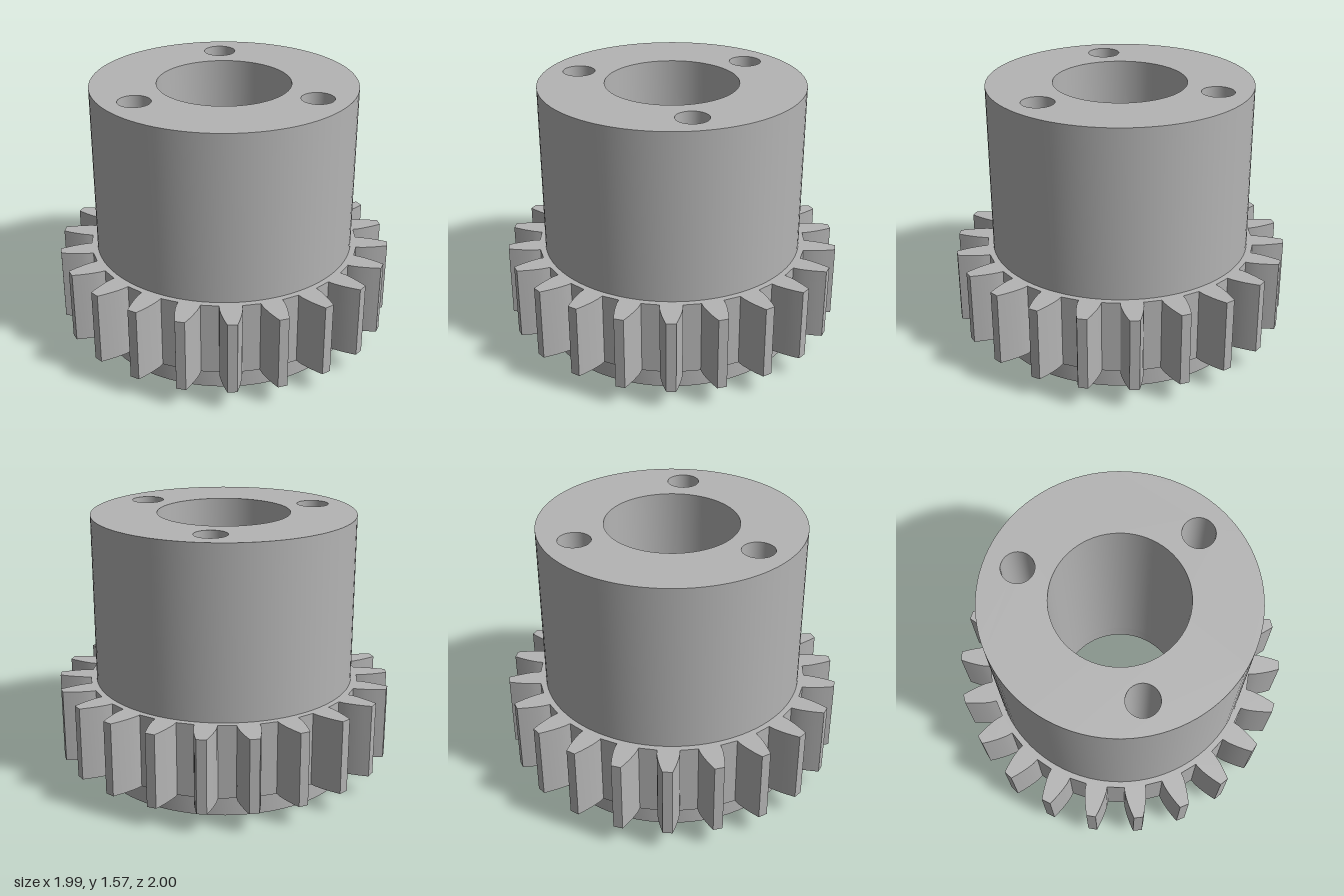
import * as THREE from 'three';
import { toCreasedNormals } from 'three/addons/utils/BufferGeometryUtils.js';

const HUB_R = 0.777, BORE_R = 0.39, BOLT_CIRCLE = 0.585, BOLT_R = 0.095, NUT_R = 0.183;
const GEAR_Y = 0.125, GEAR_H = 0.44, HEIGHT = 1.57, TEETH = 22;

// Regular polygon (or many-sided circle) used for outlines and holes
function ring(Type, r, sides, cx = 0, cy = 0) {
  const pts = [];
  for (let i = 0; i < sides; i++) {
    const a = (i / sides) * Math.PI * 2;
    pts.push(new THREE.Vector2(cx + r * Math.cos(a), cy + r * Math.sin(a)));
  }
  return new Type(pts);
}

// Hub cross-section: bore plus three holes on the bolt circle
function hubShape(holeR, holeSides) {
  const shape = ring(THREE.Shape, HUB_R, 96);
  shape.holes.push(ring(THREE.Path, BORE_R, 72));
  for (let i = 0; i < 3; i++) {
    const a = Math.PI / 2 + (i * Math.PI * 2) / 3;
    shape.holes.push(ring(THREE.Path, holeR, holeSides, BOLT_CIRCLE * Math.cos(a), BOLT_CIRCLE * Math.sin(a)));
  }
  return shape;
}

// Toothed outline: [radius, half width] pairs up one flank, mirrored down the other
function gearShape() {
  const flank = [[0.81, 0.064], [0.845, 0.064], [0.88, 0.059], [0.915, 0.052], [0.955, 0.042], [1, 0.028]];
  const tooth = [...flank.map(([r, w]) => [r, -w]), ...flank.slice().reverse()];
  const pts = [];
  for (let i = 0; i < TEETH; i++) {
    const a = Math.PI / 2 + (i / TEETH) * Math.PI * 2;
    const c = Math.cos(a), s = Math.sin(a);
    for (const [r, w] of tooth) pts.push(new THREE.Vector2(r * c - w * s, r * s + w * c));
  }
  const shape = new THREE.Shape(pts);
  shape.holes.push(ring(THREE.Path, HUB_R - 0.002, 96));
  return shape;
}

export function createModel() {
  const group = new THREE.Group();
  group.name = 'pinionGear';
  const steel = new THREE.MeshStandardMaterial({ color: 0xb4b4b4 });
  steel.name = 'steel grey';

  // Extrude a cross-section upward from height y
  function slab(name, shape, y, depth) {
    const geo = new THREE.ExtrudeGeometry(shape, { depth, bevelEnabled: false });
    geo.rotateX(-Math.PI / 2);
    geo.translate(0, y, 0);
    const mesh = new THREE.Mesh(toCreasedNormals(geo, 0.5), steel);
    mesh.name = name;
    group.add(mesh);
  }

  // Bottom flange with hexagonal nut pockets
  slab('baseFlange', hubShape(NUT_R, 6), 0, GEAR_Y);
  // Tall hub with round bolt holes
  slab('hub', hubShape(BOLT_R, 36), GEAR_Y, HEIGHT - GEAR_Y);
  // Tooth ring around the hub
  slab('gearTeeth', gearShape(), GEAR_Y, GEAR_H);

  return group;
}
